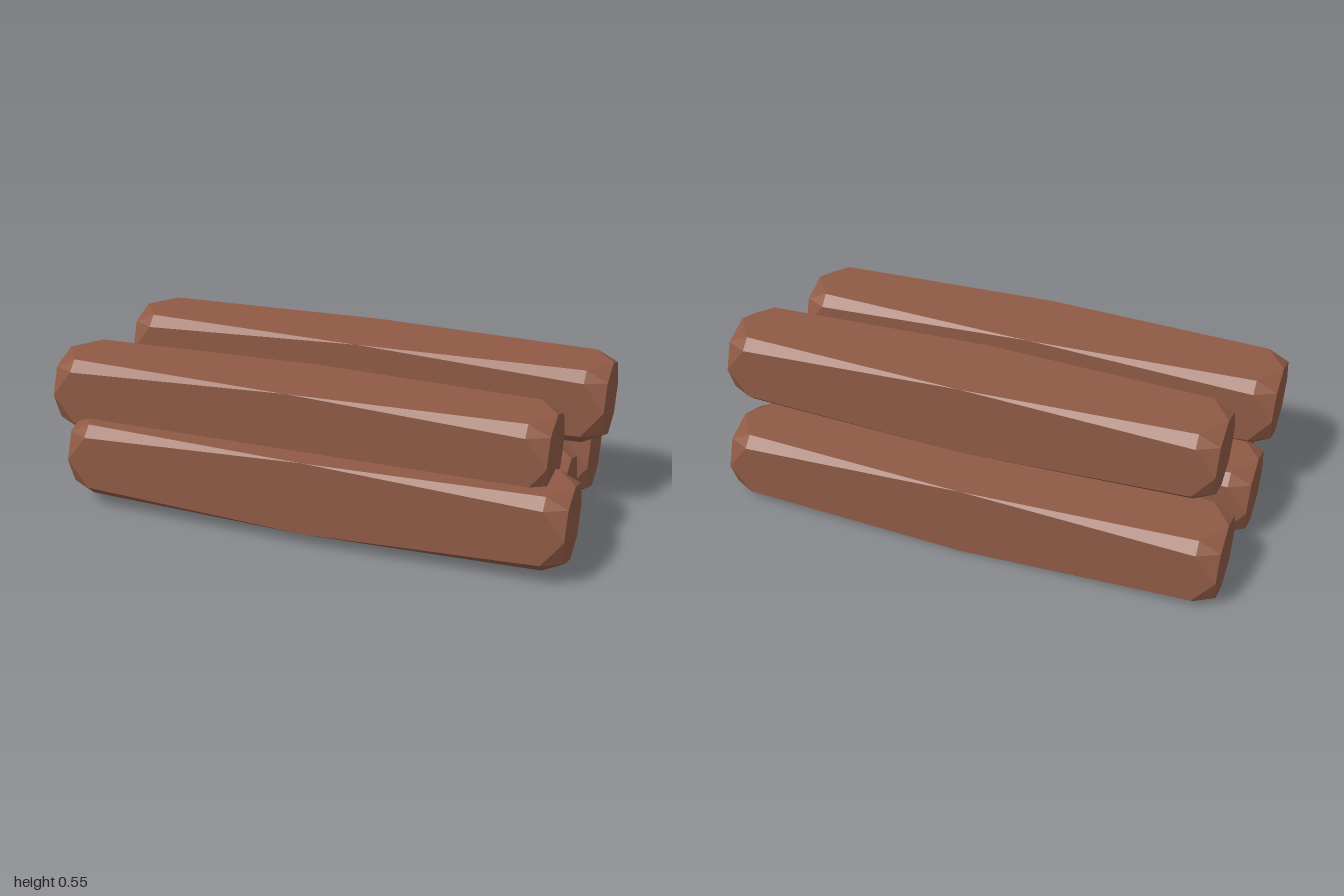
import * as THREE from 'three';
import { ConvexGeometry } from 'three/addons/geometries/ConvexGeometry.js';

// Half length, half height and half width of one log
const L = 0.865, H = 0.13, W = 0.1375;

// A squared log: sharp edges at mid length that widen into bevels, and octagonal ends
function logGeometry() {
  const points = [];
  const add = (x, y, z) => points.push(new THREE.Vector3(x, y, z));
  for (const sy of [-1, 1]) {
    for (const sz of [-1, 1]) {
      add(0, sy * H, sz * W); // edge at mid length
      for (const sx of [-1, 1]) {
        const ring = sx * (L - 0.072);
        add(ring, sy * H, sz * (W - 0.036)); // bevel, top or bottom side
        add(ring, sy * (H - 0.035), sz * W); // bevel, flank side
        add(sx * L, sy * 0.094, sz * 0.1); // end, diagonal corner
      }
    }
  }
  for (const sx of [-1, 1]) {
    for (const s of [-1, 1]) {
      add(sx * L, s * H, 0); // end, top and bottom corners
      add(sx * L, 0, s * W); // end, side corners
    }
  }
  return new ConvexGeometry(points);
}

export function createModel() {
  const group = new THREE.Group();
  group.name = 'logPile';
  const bark = new THREE.MeshStandardMaterial({ color: 0x8f5a45, flatShading: true });
  const geometry = logGeometry();

  // Three logs below, two resting on top
  const logs = [
    ['lowerLogBack', -0.2, 0.132, -0.26],
    ['lowerLogMiddle', -0.015, 0.138, 0.05],
    ['lowerLogFront', 0.2, 0.182, 0.25],
    ['upperLogBack', -0.055, 0.418, -0.16],
    ['upperLogFront', 0.085, 0.38, 0.23],
  ];
  for (const [name, x, y, z] of logs) {
    const log = new THREE.Mesh(geometry, bark);
    log.name = name;
    log.position.set(x, y, z);
    log.rotation.y = 0.59;
    group.add(log);
  }
  return group;
}
